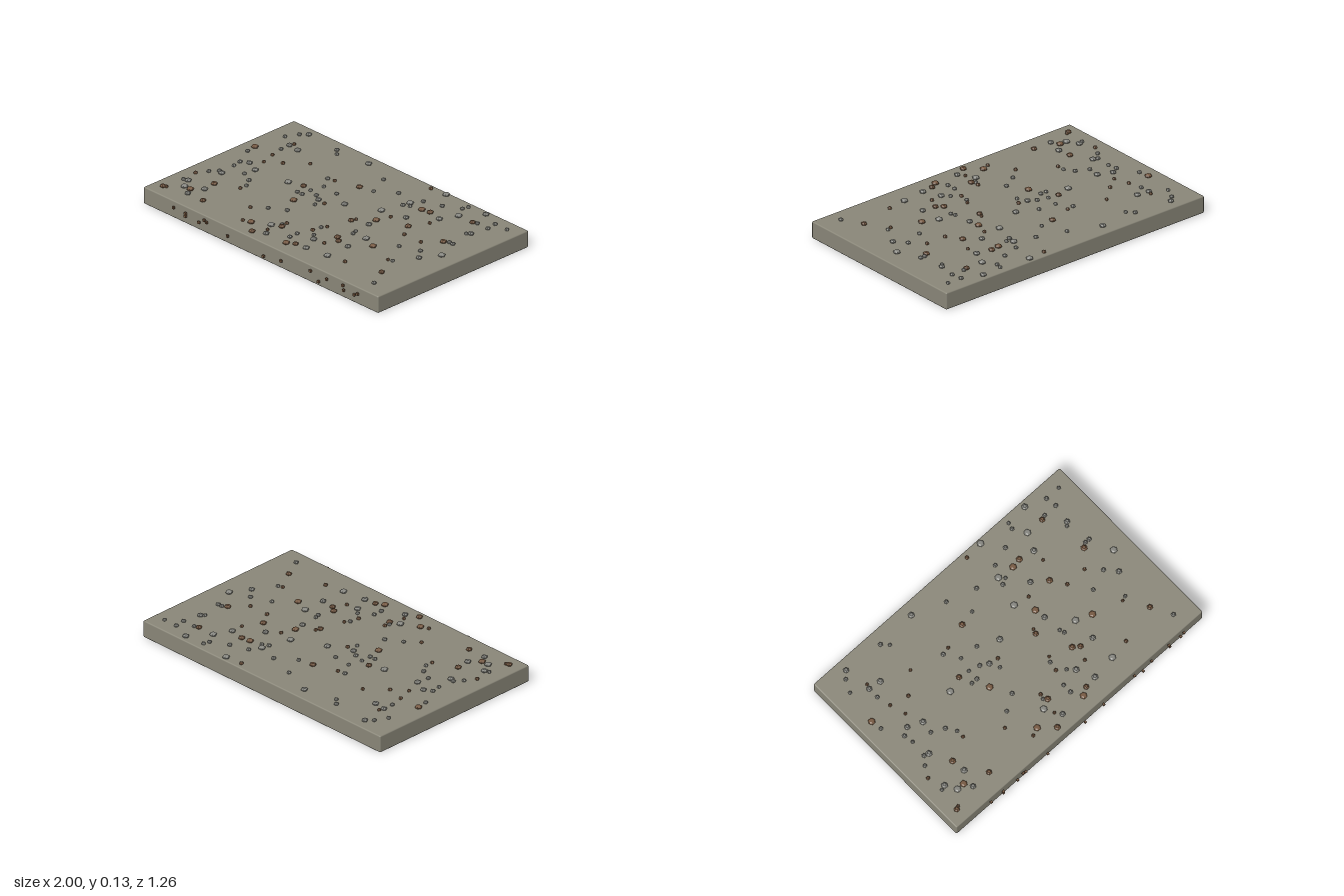
import * as THREE from 'three';
import { RoundedBoxGeometry } from 'three/addons/geometries/RoundedBoxGeometry.js';

const stone = new THREE.MeshStandardMaterial({ color: 0x8a8779 });
const grey = new THREE.MeshStandardMaterial({ color: 0x85857f });
const brown = new THREE.MeshStandardMaterial({ color: 0x75573f });
stone.name = 'slab stone';
grey.name = 'grey gravel';
brown.name = 'brown gravel';

const TOP = 0.112;

// Pebble positions (x, z in hundredths), sorted by size and colour
const largeGrey = [
  [-80, -56], [-28, -55], [33, -60], [-78, -38], [-70, -37], [26, -37], [-78, -5], [-69, -1],
  [-44, -4], [-15, -1], [0, -8], [21, -18], [38, -22], [-80, 16], [41, 14], [41, 29],
  [-72, 38], [-83, 44], [-75, 49], [-87, 37], [-11, 42], [-5, 52], [25, 48], [41, 46],
  [80, -35], [53, -35], [88, -3], [81, 9], [20, 37], [58, -46], [29, 0], [68, -59],
];
const largeBrown = [
  [70, -46], [-10, -30], [-91, -22], [-34, -7], [47, -15], [28, -7], [18, 4], [28, 25],
  [51, 18], [32, 28], [-73, 29], [-78, 44], [-62, 49], [-5, 39], [12, 52], [79, 38],
  [76, -16], [-25, 10], [-92, 53], [-13, 56], [-22, 48], [17, 49], [43, -37], [37, -36],
];
const smallGrey = [
  [-88, -44], [-84, -52], [-54, -54], [-50, -50], [-7, -47], [12, -41], [0, -32], [-78, -31],
  [-31, -24], [-25, -15], [-13, -14], [-20, -4], [-27, -6], [-31, 1], [-27, 1], [-12, 5],
  [-90, -15], [-83, -2], [-82, 4], [-70, 7], [-62, 11], [-58, 17], [-87, 20], [-83, 15],
  [-90, 38], [-28, 28], [-18, 22], [-7, 37], [8, 39], [8, 45], [16, 33], [12, 23],
  [86, 51], [73, 23], [62, 7], [75, 2], [30, 12], [31, 15], [25, -32], [29, -34],
  [30, -44], [42, -48], [54, -58], [53, -54], [81, -54], [91, -54], [73, -47], [82, -47],
  [78, -33], [79, -18], [82, -18],
];
const smallBrown = [
  [-77, -41], [-76, -22], [-64, -19], [-52, -30], [-26, -25], [-9, 0], [-73, -12], [-58, 22],
  [-91, 27], [-90, 52], [-36, 35], [-6, 34], [-8, 48], [-27, 50], [11, 29], [14, 20],
  [28, 36], [54, 44], [70, 24], [67, -6], [53, -6], [19, 1], [31, -16], [21, -59], [53, -27],
];

// Chips along the front edge (x, y in hundredths)
const chips = [
  [-73, 7.7], [-63, 7.4], [-63, 5.6], [-51.5, 5.7], [-47, 8.7], [-45, 8], [-27, 5.6], [3.5, 3.3],
  [18.5, 5.6], [43.6, 8.2], [50.5, 3.6], [57.5, 7.7], [71.4, 8.7], [72, 5.7], [81, 6], [83.7, 7.5],
];

// Faceted six-sided dome, radius 1 and height 1
function pebbleGeometry() {
  const profile = [[0.85, -0.1], [1, 0.35], [0.82, 0.75], [0.5, 1], [0, 1]]
    .map(([x, y]) => new THREE.Vector2(x, y));
  const g = new THREE.LatheGeometry(profile, 6).toNonIndexed();
  g.rotateY(Math.PI / 6);
  g.computeVertexNormals();
  return g;
}

export function createModel() {
  const model = new THREE.Group();
  model.name = 'gravelSlab';

  // Slab with softly chamfered edges
  const slab = new THREE.Mesh(new RoundedBoxGeometry(2, TOP, 1.243, 2, 0.008), stone);
  slab.name = 'slab';
  slab.position.set(0, TOP / 2, -0.0085);
  model.add(slab);

  // Pebbles resting on the top
  const geometry = pebbleGeometry();
  function scatter(name, spots, material, radius, height) {
    const group = new THREE.Group();
    group.name = name;
    spots.forEach(([x, z], i) => {
      const pebble = new THREE.Mesh(geometry, material);
      pebble.name = 'pebble';
      const r = radius * (0.9 + 0.1 * (i % 3));
      pebble.position.set(x / 100, TOP, z / 100);
      pebble.scale.set(r, height, r);
      group.add(pebble);
    });
    model.add(group);
  }
  scatter('largeGreyPebbles', largeGrey, grey, 0.021, 0.017);
  scatter('largeBrownPebbles', largeBrown, brown, 0.021, 0.017);
  scatter('smallGreyPebbles', smallGrey, grey, 0.014, 0.015);
  scatter('smallBrownPebbles', smallBrown, brown, 0.012, 0.015);

  // Small square chips just ahead of the front face
  const frontChips = new THREE.Group();
  frontChips.name = 'frontChips';
  const chipGeometry = new THREE.BoxGeometry(0.014, 0.015, 0.013);
  for (const [x, y] of chips) {
    const chip = new THREE.Mesh(chipGeometry, brown);
    chip.name = 'chip';
    chip.position.set(x / 100, y / 100, 0.627);
    frontChips.add(chip);
  }
  model.add(frontChips);

  return model;
}
